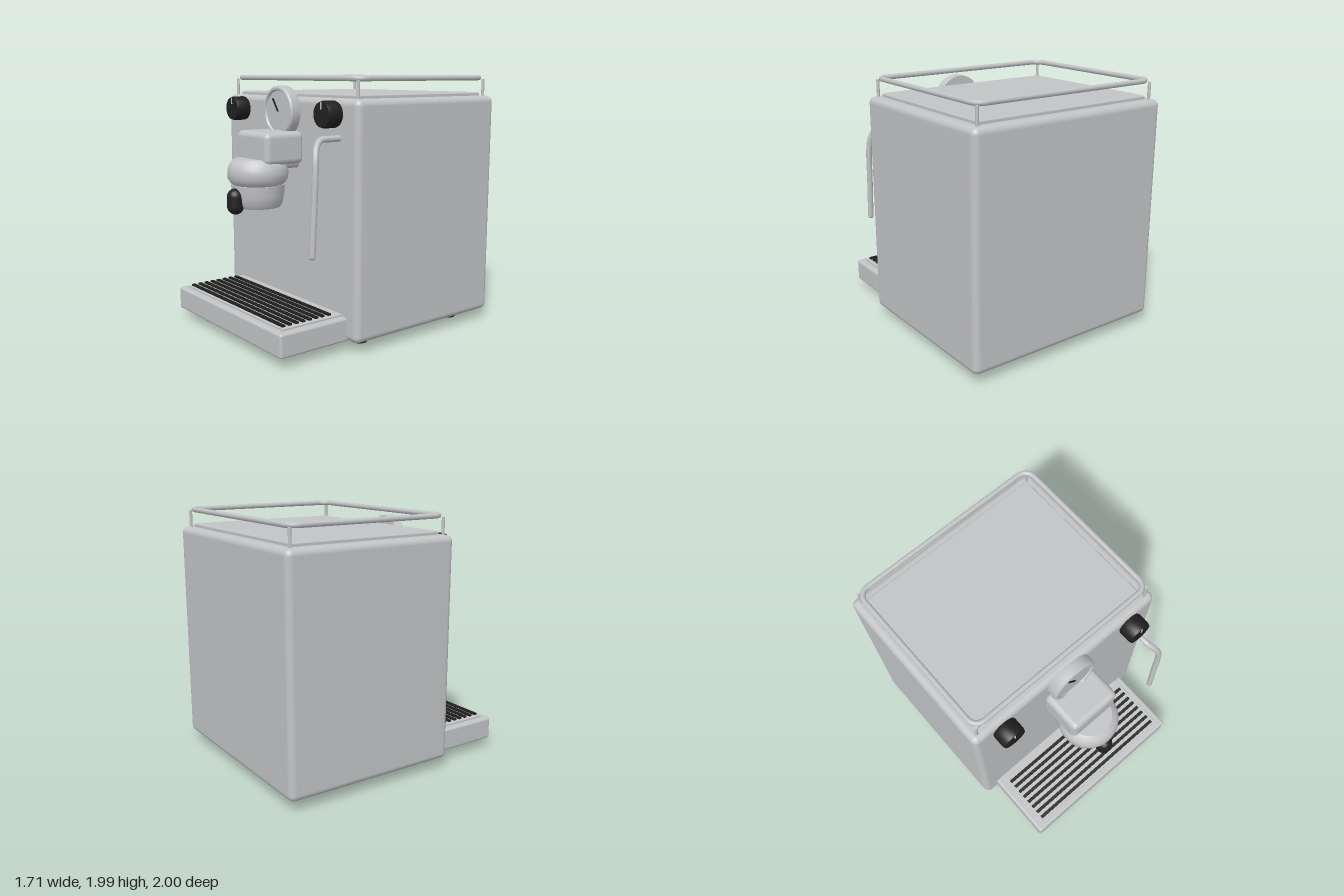
import * as THREE from 'three';
import { toCreasedNormals } from 'three/addons/utils/BufferGeometryUtils.js';
import { RoundedBoxGeometry } from 'three/addons/geometries/RoundedBoxGeometry.js';

export function createModel() {
  const model = new THREE.Group();
  const steel = new THREE.MeshStandardMaterial({ color: 0xc2c3c5 });
  steel.name = 'steel';
  const black = new THREE.MeshStandardMaterial({ color: 0x202020 });
  black.name = 'black';

  const add = (name, geometry, material, x = 0, y = 0, z = 0) => {
    const mesh = new THREE.Mesh(geometry, material);
    mesh.name = name;
    mesh.position.set(x, y, z);
    model.add(mesh);
    return mesh;
  };
  // Rounded box given by its extents on each axis
  const block = (name, [x0, x1], [y0, y1], [z0, z1], r, material = steel) =>
    add(name, new RoundedBoxGeometry(x1 - x0, y1 - y0, z1 - z0, 4, r), material,
      (x0 + x1) / 2, (y0 + y1) / 2, (z0 + z1) / 2);
  // Turned part with crisp edges, profile as [radius, height] from bottom to top
  const turned = (profile, sides = 40, crease = 0.6) => toCreasedNormals(
    new THREE.LatheGeometry(profile.map(p => new THREE.Vector2(...p)), sides), crease);
  // Turned part whose axis points to the front
  const dial = (profile, sides) => turned(profile, sides).rotateX(Math.PI / 2);

  // Housing
  block('body', [-0.855, 0.855], [0.075, 1.83], [-1, 0.42], 0.05);
  block('topPlate', [-0.77, 0.77], [1.8, 1.857], [-0.92, 0.34], 0.012);

  // Feet
  for (const x of [-0.63, 0.63]) for (const z of [0.2, -0.77]) {
    add('foot', turned([[0, 0], [0.058, 0], [0.06, 0.03], [0.042, 0.068], [0.042, 0.085], [0, 0.085]], 24),
      black, x, 0, z);
  }

  // Cup rail with rounded corners, running inside four posts
  const railPath = new THREE.CurvePath();
  const X = 0.787, Z = 0.648, R = 0.08, zMid = -0.287;
  const corners = [[1, 1], [-1, 1], [-1, -1], [1, -1]];
  const railPoints = [];
  corners.forEach(([sx, sz], i) => {
    for (let k = 0; k <= 6; k++) {
      const a = Math.PI / 4 * (1 + 2 * i) + (k / 6 - 0.5) * Math.PI / 2;
      railPoints.push(new THREE.Vector3(
        sx * (X - R) + R * Math.cos(a), 0, sz * (Z - R) + R * Math.sin(a)));
    }
  });
  railPoints.forEach((p, i) =>
    railPath.add(new THREE.LineCurve3(p, railPoints[(i + 1) % railPoints.length])));
  const rail = new THREE.CatmullRomCurve3(railPath.getSpacedPoints(160).slice(0, -1), true);
  add('cupRail', new THREE.TubeGeometry(rail, 240, 0.02, 10, true), steel, 0, 1.97, zMid);
  for (const [sx, sz] of corners) {
    add('railPost', new THREE.CylinderGeometry(0.012, 0.012, 0.15, 12), steel,
      sx * 0.787, 1.885, zMid + sz * 0.65);
  }

  // Drip tray with its slotted grate
  block('dripTray', [-0.74, 0.74], [0.075, 0.255], [0.38, 1], 0.02);
  block('grate', [-0.685, 0.685], [0.24, 0.27], [0.4, 0.945], 0.006);
  for (let i = 0; i < 8; i++) {
    add('grateBar', new THREE.BoxGeometry(1.31, 0.016, 0.026), black, 0, 0.276, 0.51 + i * 0.0577);
  }

  // Control knobs with pointer marks
  for (const x of [-0.6, 0.6]) {
    add('knob', dial([[0, 0], [0.092, 0], [0.097, 0.012], [0.097, 0.1], [0.09, 0.122], [0, 0.122]], 32),
      black, x, 1.72, 0.42);
    add('knobMark', new THREE.BoxGeometry(0.012, 0.05, 0.008), steel, x, 1.782, 0.543);
  }

  // Indicator lamp
  add('lampRing', dial([[0, 0], [0.04, 0], [0.04, 0.01], [0.033, 0.016], [0, 0.016]], 24),
    steel, -0.6, 1.375, 0.418);
  add('lampLens', new THREE.SphereGeometry(0.03, 20, 12).scale(1, 1, 0.4), steel, -0.6, 1.375, 0.432);

  // Pressure gauge with recessed face and needle
  add('gauge', dial([[0, 0], [0.19, 0], [0.193, 0.01], [0.193, 0.075], [0.18, 0.088],
    [0.164, 0.088], [0.155, 0.075], [0, 0.075]], 48), steel, 0, 1.72, 0.418);
  const needle = add('gaugeNeedle', new THREE.BoxGeometry(0.012, 0.118, 0.008), black, -0.033, 1.767, 0.497);
  needle.rotation.z = Math.atan2(0.066, 0.095);

  // Brew group: neck, head, bulging collar and filter holder
  block('groupNeck', [-0.17, 0.17], [1.295, 1.5], [0.38, 0.6], 0.04);
  block('groupHead', [-0.213, 0.213], [1.33, 1.575], [0.4, 0.745], 0.045);
  add('groupCollar', turned([[0, 1.175], [0.19, 1.175], [0.208, 1.192], [0.228, 1.225], [0.231, 1.27],
    [0.225, 1.312], [0.205, 1.345], [0.172, 1.373], [0, 1.373]], 40, 0.7), steel, 0, 0, 0.685);
  add('filterHolder', turned([[0, 1.005], [0.165, 1.005], [0.185, 1.035], [0.197, 1.1],
    [0.204, 1.178], [0, 1.178]]), steel, 0, 0, 0.685);
  add('filterHandle', new THREE.CapsuleGeometry(0.063, 0.07, 10, 24), black, 0, 1.062, 0.887);

  // Steam wand
  const wand = new THREE.CatmullRomCurve3([
    [0.65, 1.552, 0.4], [0.65, 1.552, 0.5], [0.655, 1.547, 0.59], [0.685, 1.5, 0.65],
    [0.713, 1.43, 0.678], [0.725, 1.34, 0.688], [0.725, 1.05, 0.702], [0.725, 0.752, 0.718],
  ].map(p => new THREE.Vector3(...p)));
  add('steamWand', new THREE.TubeGeometry(wand, 64, 0.023, 12), steel);
  add('steamTip', new THREE.SphereGeometry(0.023, 12, 8), steel, 0.725, 0.752, 0.718);

  return model;
}
